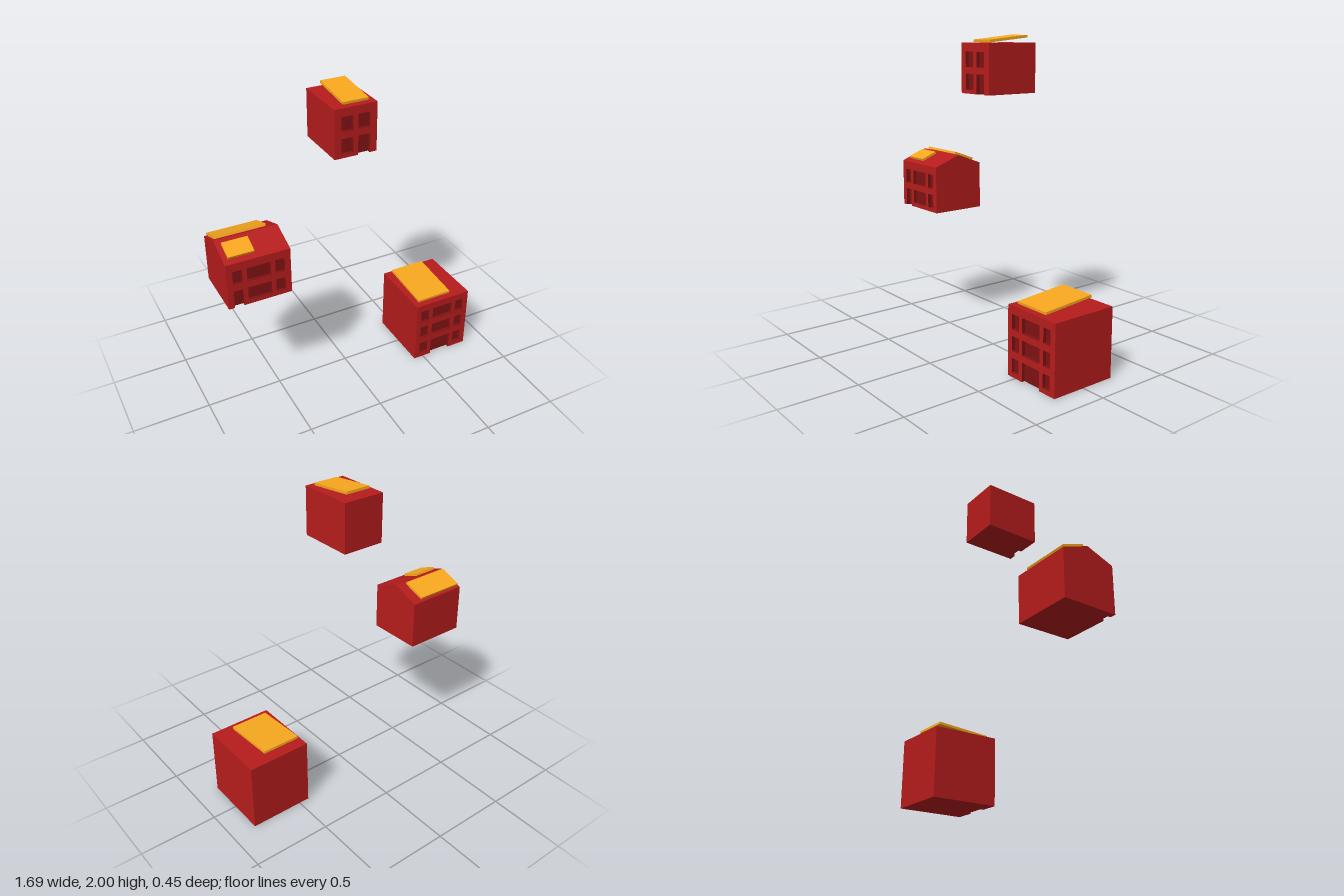
import * as THREE from 'three';
import { mergeGeometries } from 'three/addons/utils/BufferGeometryUtils.js';

const DEPTH = 0.022; // how far openings are set back
const wallMat = new THREE.MeshStandardMaterial({ color: 0xb71c1c });
const openingMat = new THREE.MeshStandardMaterial({ color: 0x7f1212 });
const panelMat = new THREE.MeshStandardMaterial({ color: 0xf9a81e });

// Flat face from four corners, counter-clockwise
function quad(a, b, c, d) {
  const g = new THREE.BufferGeometry();
  g.setAttribute('position', new THREE.Float32BufferAttribute([a, b, c, a, c, d].flat(), 3));
  g.computeVertexNormals();
  return g;
}

const outline = (pts) => new THREE.Shape(pts.map(([x, y]) => new THREE.Vector2(x, y)));

function face(shape) {
  const g = new THREE.ShapeGeometry(shape).toNonIndexed();
  g.deleteAttribute('uv');
  return g;
}

function mesh(name, parts, material) {
  const m = new THREE.Mesh(Array.isArray(parts) ? mergeGeometries(parts) : parts, material);
  m.name = name;
  return m;
}

// Inner faces of a recessed opening; a door has no sill
function recess([l, r, b, t], zf, isDoor) {
  const zr = zf - DEPTH;
  const parts = [
    quad([l, b, zr], [r, b, zr], [r, t, zr], [l, t, zr]),
    quad([l, b, zf], [l, b, zr], [l, t, zr], [l, t, zf]),
    quad([r, b, zr], [r, b, zf], [r, t, zf], [r, t, zr]),
    quad([l, t, zr], [r, t, zr], [r, t, zf], [l, t, zf]),
  ];
  if (!isDoor) parts.push(quad([l, b, zf], [r, b, zf], [r, b, zr], [l, b, zr]));
  return parts;
}

// Hollow shell: profile is [z, y] from the front foot over the roof to the back foot
function walls(x0, x1, profile, windows, door) {
  const [zf, y0] = profile[0], eave = profile[1][1], zb = profile.at(-1)[0];
  const [l, r, , t] = door;
  const front = outline([[x0, y0], [l, y0], [l, t], [r, t], [r, y0], [x1, y0], [x1, eave], [x0, eave]]);
  for (const [a, b, c, d] of windows) {
    front.holes.push(new THREE.Path([[a, c], [a, d], [b, d], [b, c]].map(p => new THREE.Vector2(...p))));
  }
  const zr = zf - DEPTH;
  const floor = outline([[x0, zf], [l, zf], [l, zr], [r, zr], [r, zf], [x1, zf], [x1, zb], [x0, zb]]);
  const parts = [
    face(front).translate(0, 0, zf),
    face(floor).rotateX(Math.PI / 2).translate(0, y0, 0),
    face(outline(profile)).rotateY(-Math.PI / 2).translate(x0, 0, 0),
    face(outline(profile.map(([z, y]) => [-z, y]))).rotateY(Math.PI / 2).translate(x1, 0, 0),
  ];
  // Roof surfaces and back wall
  for (let i = 1; i < profile.length - 1; i++) {
    const [za, ya] = profile[i], [zc, yc] = profile[i + 1];
    parts.push(quad([x0, ya, za], [x1, ya, za], [x1, yc, zc], [x0, yc, zc]));
  }
  return parts;
}

// Thin slab whose underside runs from a front to a back [z, y] point
function roofPanel(x0, x1, [za, ya], [zb, yb]) {
  const thick = 0.016;
  const tilt = Math.atan2(yb - ya, za - zb);
  const m = mesh('roofPanel', new THREE.BoxGeometry(x1 - x0, thick, Math.hypot(za - zb, ya - yb)), panelMat);
  m.position.set((x0 + x1) / 2, (ya + yb) / 2 + Math.cos(tilt) * thick / 2, (za + zb) / 2 + Math.sin(tilt) * thick / 2);
  m.rotation.x = tilt;
  return m;
}

function house({ name, x, profile, columns, rows, doorColumn, panels }) {
  const group = new THREE.Group();
  group.name = name;
  const y0 = profile[0][1], zf = profile[0][0];
  const windows = [];
  let door;
  rows.forEach(([b, t], row) => columns.forEach(([l, r], col) => {
    if (row === 0 && col === doorColumn) door = [l, r, y0, t];
    else windows.push([l, r, b, t]);
  }));
  group.add(mesh('walls', walls(x[0], x[1], profile, windows, door), wallMat));
  group.add(mesh('windows', windows.flatMap(w => recess(w, zf, false)), openingMat));
  group.add(mesh('door', recess(door, zf, true), openingMat));
  for (const p of panels) group.add(roofPanel(...p));
  return group;
}

export function createModel() {
  const model = new THREE.Group();
  model.name = 'houses';
  model.add(
    house({
      name: 'largeHouse', x: [0.432, 0.842],
      profile: [[0.226, 0], [0.226, 0.447], [-0.226, 0.447], [-0.226, 0]],
      columns: [[0.468, 0.531], [0.56, 0.712], [0.743, 0.802]],
      rows: [[0.03, 0.122], [0.165, 0.26], [0.302, 0.397]],
      doorColumn: 1,
      panels: [[0.468, 0.715, [0.183, 0.45], [-0.181, 0.479]]],
    }),
    house({
      name: 'gabledHouse', x: [-0.845, -0.437],
      profile: [[0.138, 0.824], [0.138, 1.135], [-0.045, 1.203], [-0.226, 1.135], [-0.226, 0.824]],
      columns: [[-0.807, -0.747], [-0.717, -0.566], [-0.537, -0.476]],
      rows: [[0.85, 0.942], [0.985, 1.08]],
      doorColumn: 0,
      panels: [
        [-0.812, -0.648, [0.1, 1.15], [-0.008, 1.191]],
        [-0.833, -0.505, [-0.065, 1.2], [-0.212, 1.145]],
      ],
    }),
    house({
      name: 'smallHouse', x: [-0.139, 0.135],
      profile: [[0.138, 1.646], [0.138, 1.953], [-0.226, 1.953], [-0.226, 1.646]],
      columns: [[-0.095, -0.019], [0.013, 0.089]],
      rows: [[1.67, 1.767], [1.807, 1.9]],
      doorColumn: 1,
      panels: [[-0.066, 0.098, [0.1, 1.956], [-0.192, 1.984]]],
    }),
  );
  return model;
}
